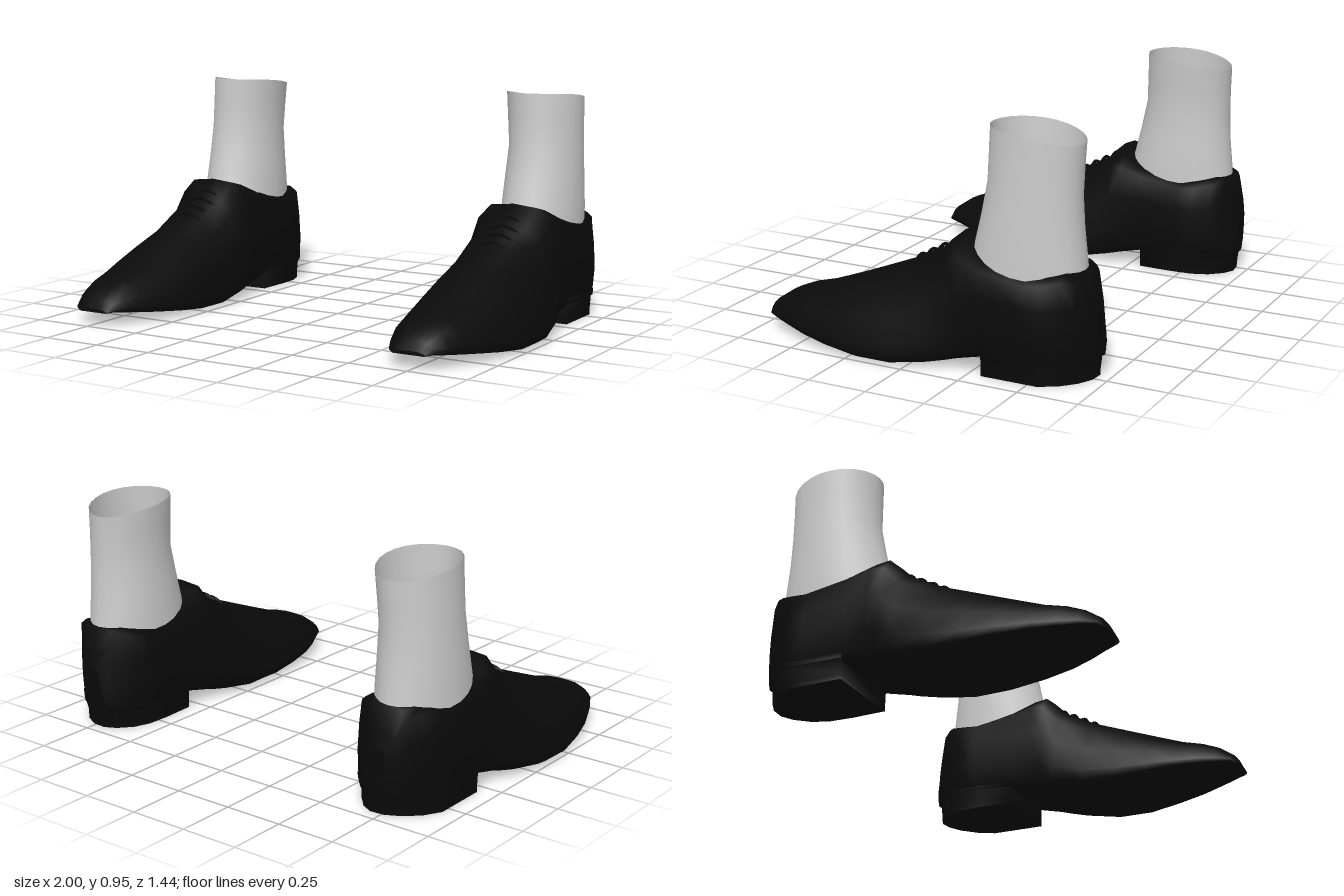
import * as THREE from 'three';

const black = new THREE.MeshStandardMaterial({ color: 0x0a0a0a });
black.name = 'black leather';
const grey = new THREE.MeshStandardMaterial({ color: 0xcccccc, side: THREE.DoubleSide });
grey.name = 'pale grey sock';

// Skin a list of closed rings of [x, y, z]; side -1 mirrors the shape in x.
function loft(rings, side, capped) {
  const n = rings[0].length;
  const pos = [], idx = [];
  const add = (a, b, c) => (side > 0 ? idx.push(a, b, c) : idx.push(a, c, b));
  rings.forEach(r => r.forEach(([x, y, z]) => pos.push(side * x, y, z)));
  for (let i = 0; i + 1 < rings.length; i++) {
    for (let j = 0; j < n; j++) {
      const a = i * n + j, b = i * n + (j + 1) % n;
      add(a, a + n, b);
      add(b, a + n, b + n);
    }
  }
  // End caps get their own vertices so their edges stay sharp.
  if (capped) {
    [rings[0], rings[rings.length - 1]].forEach((r, e) => {
      const base = pos.length / 3;
      r.forEach(([x, y, z]) => pos.push(side * x, y, z));
      for (let j = 1; j < n - 1; j++) {
        if (e === 0) add(base, base + j, base + j + 1);
        else add(base, base + j + 1, base + j);
      }
    });
  }
  const g = new THREE.BufferGeometry();
  g.setAttribute('position', new THREE.Float32BufferAttribute(pos, 3));
  g.setIndex(idx);
  g.computeVertexNormals();
  return g;
}

// Upper stations, toe to heel: z, inner x, outer x, bottom y, top y, squareness.
const STATIONS = [
  [0.72, 0.67, 0.81, 0.055, 0.07, 0.2],
  [0.70, 0.645, 0.84, 0.058, 0.11, 0.2],
  [0.64, 0.615, 0.875, 0.052, 0.15, 0.2],
  [0.57, 0.58, 0.905, 0.043, 0.18, 0.1],
  [0.48, 0.548, 0.942, 0.033, 0.205, 0],
  [0.36, 0.527, 0.975, 0.018, 0.25, 0],
  [0.22, 0.515, 1.0, 0.004, 0.305, 0],
  [0.07, 0.51, 1.0, 0.004, 0.365, 0],
  [-0.08, 0.525, 0.975, 0.026, 0.44, 0.2],
  [-0.15, 0.535, 0.955, 0.04, 0.51, 0.45],
  [-0.20, 0.545, 0.94, 0.052, 0.49, 0.7],
  [-0.30, 0.55, 0.935, 0.075, 0.44, 1],
  [-0.48, 0.55, 0.94, 0.075, 0.41, 1],
  [-0.55, 0.555, 0.935, 0.075, 0.415, 1],
  [-0.62, 0.575, 0.89, 0.075, 0.43, 1],
  [-0.665, 0.62, 0.845, 0.075, 0.425, 0.9],
  [-0.70, 0.65, 0.80, 0.075, 0.33, 0.7],
  [-0.717, 0.68, 0.765, 0.12, 0.27, 0.5],
];
// Half sections (across, up) for the domed forefoot and the square heel.
const DOMED = [[0.86, 0], [1, 0.06], [0.98, 0.2], [0.86, 0.5], [0.62, 0.79], [0.3, 0.96]];
const SQUARE = [[0.88, 0], [0.96, 0.1], [1, 0.35], [0.98, 0.65], [0.92, 0.93], [0.72, 1]];

function upperRing([z, xl, xr, yb, yt, t]) {
  const mid = (xl + xr) / 2, half = (xr - xl) / 2;
  const pts = DOMED.map(([u, v], i) => [
    THREE.MathUtils.lerp(u, SQUARE[i][0], t), THREE.MathUtils.lerp(v, SQUARE[i][1], t)]);
  const left = pts.map(([u, v]) => [-u, v]).reverse();
  return [...pts, [0, 1], ...left].map(([u, v]) =>
    [mid + u * half + (0.745 - mid) * v, yb + v * (yt - yb), z]);
}

// Heel outline: straight breast in front, rounded at the back.
const HEEL = [[0.92, -0.305], [0.575, -0.305], [0.57, -0.45], [0.575, -0.55], [0.60, -0.62],
  [0.65, -0.675], [0.70, -0.70], [0.76, -0.695], [0.82, -0.665], [0.88, -0.61], [0.92, -0.54]];
function heelRing(y, grow) {
  return HEEL.map(([x, z]) => [0.745 + (x - 0.745) * grow, y, -0.305 + (z + 0.305) * grow]);
}

// Sock levels: y at front, y at back, front z, back z, inner x, outer x.
const SOCK = [
  [0.36, 0.36, -0.17, -0.665, 0.585, 0.91],
  [0.48, 0.46, -0.205, -0.655, 0.588, 0.91],
  [0.60, 0.58, -0.235, -0.642, 0.594, 0.905],
  [0.73, 0.70, -0.262, -0.636, 0.602, 0.90],
  [0.84, 0.80, -0.266, -0.638, 0.594, 0.897],
  [0.95, 0.90, -0.27, -0.642, 0.585, 0.895],
];
function sockRing([yf, yb, zf, zb, xl, xr]) {
  return Array.from({ length: 24 }, (_, i) => {
    const a = i / 24 * Math.PI * 2, c = Math.cos(a), s = Math.sin(a);
    // The rim stays level over the front and dips at the heel.
    const dip = Math.pow((1 - s) / 2, 2);
    return [(xl + xr) / 2 + c * (xr - xl) / 2, yf + (yb - yf) * dip, (zf + zb) / 2 + s * (zf - zb) / 2];
  });
}

function createFoot(side) {
  const foot = new THREE.Group();
  foot.name = side > 0 ? 'leftFoot' : 'rightFoot';
  const part = (name, geometry, material) => {
    const m = new THREE.Mesh(geometry, material);
    m.name = name;
    foot.add(m);
  };
  part('shoeUpper', loft(STATIONS.map(upperRing), side, true), black);
  // Heel block and its projecting top rim
  part('heel', loft([heelRing(0, 1), heelRing(0.02, 1), heelRing(0.09, 1.02)], side, true), black);
  part('heelRim', loft([heelRing(0.085, 1.045), heelRing(0.11, 1.055)], side, true), black);
  part('sock', loft(SOCK.map(sockRing), side, false), grey);
  // Laces bowed across the instep
  for (let i = 0; i < 4; i++) {
    const z = 0.05 - i * 0.05, y = 0.377 + i * 0.027;
    const curve = new THREE.CatmullRomCurve3([[-0.08, -0.028], [0, 0.004], [0.08, -0.028]].map(
      ([dx, dy]) => new THREE.Vector3(side * (0.745 + dx), y + dy, z)));
    part('lace', new THREE.TubeGeometry(curve, 8, 0.007, 5), black);
  }
  return foot;
}

export function createModel() {
  const model = new THREE.Group();
  model.name = 'shoesAndSocks';
  model.add(createFoot(1), createFoot(-1));
  return model;
}
